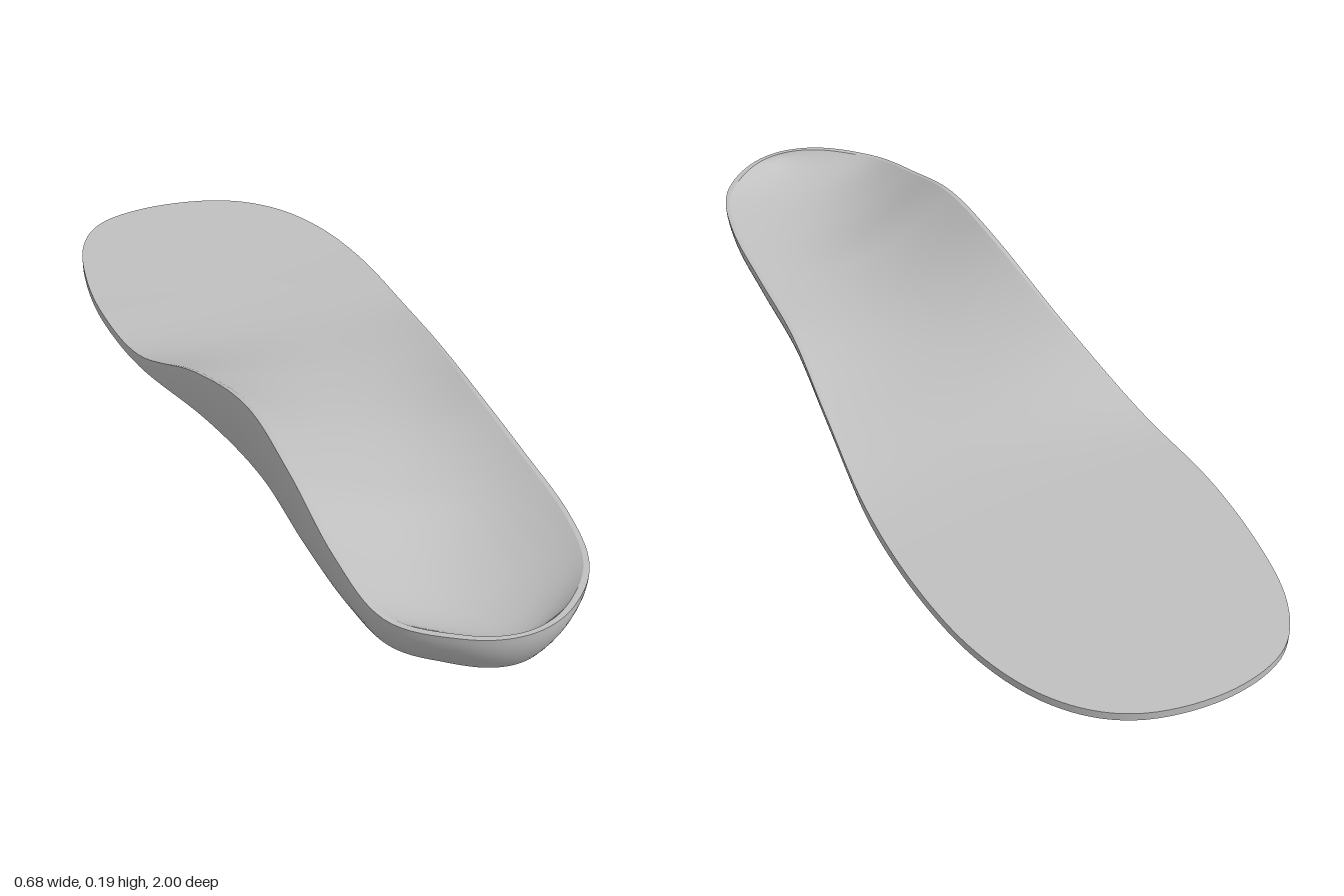
import * as THREE from 'three';
import { mergeVertices } from 'three/addons/utils/BufferGeometryUtils.js';

// Profiles sampled from toe to heel at z = -cos(15 deg * i)
const LEFT = [-0.04, -0.19, -0.275, -0.32, -0.34, -0.325, -0.278, -0.258, -0.264, -0.26, -0.232, -0.13, -0.02];
const RIGHT = [-0.04, 0.13, 0.245, 0.312, 0.337, 0.33, 0.298, 0.262, 0.243, 0.223, 0.178, 0.085, -0.02];
const RIM_LEFT = [0.018, 0.018, 0.018, 0.018, 0.021, 0.032, 0.12, 0.182, 0.178, 0.125, 0.09, 0.09, 0.09];
const RIM_RIGHT = [0.018, 0.018, 0.018, 0.018, 0.02, 0.027, 0.062, 0.09, 0.09, 0.09, 0.09, 0.09, 0.09];
const FLOOR = [0.018, 0.018, 0.018, 0.018, 0.018, 0.022, 0.032, 0.035, 0.03, 0.028, 0.031, 0.052, 0.09];
const ROWS = 96;
const { lerp, smoothstep } = THREE.MathUtils;

// Smooth interpolation of a profile, t in 0..1
function sample(table, t) {
  const f = Math.min(t, 1) * (table.length - 1);
  const i = Math.min(Math.floor(f), table.length - 2);
  const u = f - i;
  const b = table[i], c = table[i + 1];
  const a = table[i - 1] ?? 2 * b - c;
  const d = table[i + 2] ?? 2 * c - b;
  return b + 0.5 * u * (c - a + u * (2 * a - 5 * b + 4 * c - d + u * (3 * (b - c) + d - a)));
}

// Outline point on one side (-1 or 1), moved inward by inset
function edge(side, t, inset) {
  const z = -Math.cos(Math.PI * t);
  const l = sample(LEFT, t), r = sample(RIGHT, t);
  const half = Math.max(0, (r - l) / 2);
  const x = (l + r) / 2 + side * (half - inset * Math.min(1, half / 0.15));
  return { x, z: z * (1 - inset * smoothstep(Math.abs(z), 0.7, 1)) };
}

const rim = (side, t) => sample(side < 0 ? RIM_LEFT : RIM_RIGHT, t);
const soleInset = (t) => 0.032 * smoothstep(-Math.cos(Math.PI * t), -0.35, 0.3);
const lipInset = (t) => lerp(0.004, 0.01, smoothstep(t, 0.4, 0.6));

// Walk once round the outline: right side to the heel, left side back to the toe
function around(p) {
  return p <= 0.5 ? [1, p * 2] : [-1, 2 - p * 2];
}

// Grid surface from a rule, welded for smooth normals
function patch(nu, nv, rule) {
  const pos = [], idx = [];
  for (let j = 0; j <= nv; j++) {
    for (let i = 0; i <= nu; i++) pos.push(...rule(i / nu, j / nv));
  }
  for (let j = 0; j < nv; j++) {
    for (let i = 0; i < nu; i++) {
      const a = j * (nu + 1) + i, b = a + nu + 1;
      idx.push(a, b, a + 1, a + 1, b, b + 1);
    }
  }
  const geo = new THREE.BufferGeometry();
  geo.setAttribute('position', new THREE.Float32BufferAttribute(pos, 3));
  geo.setIndex(idx);
  const welded = mergeVertices(geo, 1e-5);
  welded.computeVertexNormals();
  return welded;
}

export function createModel() {
  const group = new THREE.Group();
  group.name = 'insole';
  const grey = new THREE.MeshStandardMaterial({ color: 0xc0c0c0 });
  grey.name = 'light grey';
  const add = (name, geo) => {
    const mesh = new THREE.Mesh(geo, grey);
    mesh.name = name;
    group.add(mesh);
  };

  // Cupped upper surface with the raised arch on one side
  add('footbed', patch(32, ROWS, (s, t) => {
    const l = edge(-1, t, lipInset(t)), r = edge(1, t, lipInset(t));
    const floor = sample(FLOOR, t);
    const archPower = lerp(2.2, 3.5, smoothstep(l.z, 0.5, 0.85));
    const y = floor + (rim(-1, t) - floor) * (1 - s) ** archPower + (rim(1, t) - floor) * s ** 3;
    return [lerp(l.x, r.x, s), y, l.z];
  }));

  // Narrow flat lip around the footbed
  add('rimLip', patch(ROWS * 2, 1, (p, v) => {
    const [side, t] = around(p);
    const e = edge(side, t, v * lipInset(t));
    return [e.x, rim(side, t), e.z];
  }));

  // Outer wall, curving in towards the sole
  add('sideWall', patch(ROWS * 2, 8, (p, v) => {
    const [side, t] = around(p);
    const e = edge(side, t, soleInset(t) * (1 - v) ** 2);
    return [e.x, v * rim(side, t), e.z];
  }));

  // Flat underside
  add('sole', patch(4, ROWS, (s, t) => {
    const l = edge(-1, t, soleInset(t)), r = edge(1, t, soleInset(t));
    return [lerp(r.x, l.x, s), 0, l.z];
  }));

  return group;
}
